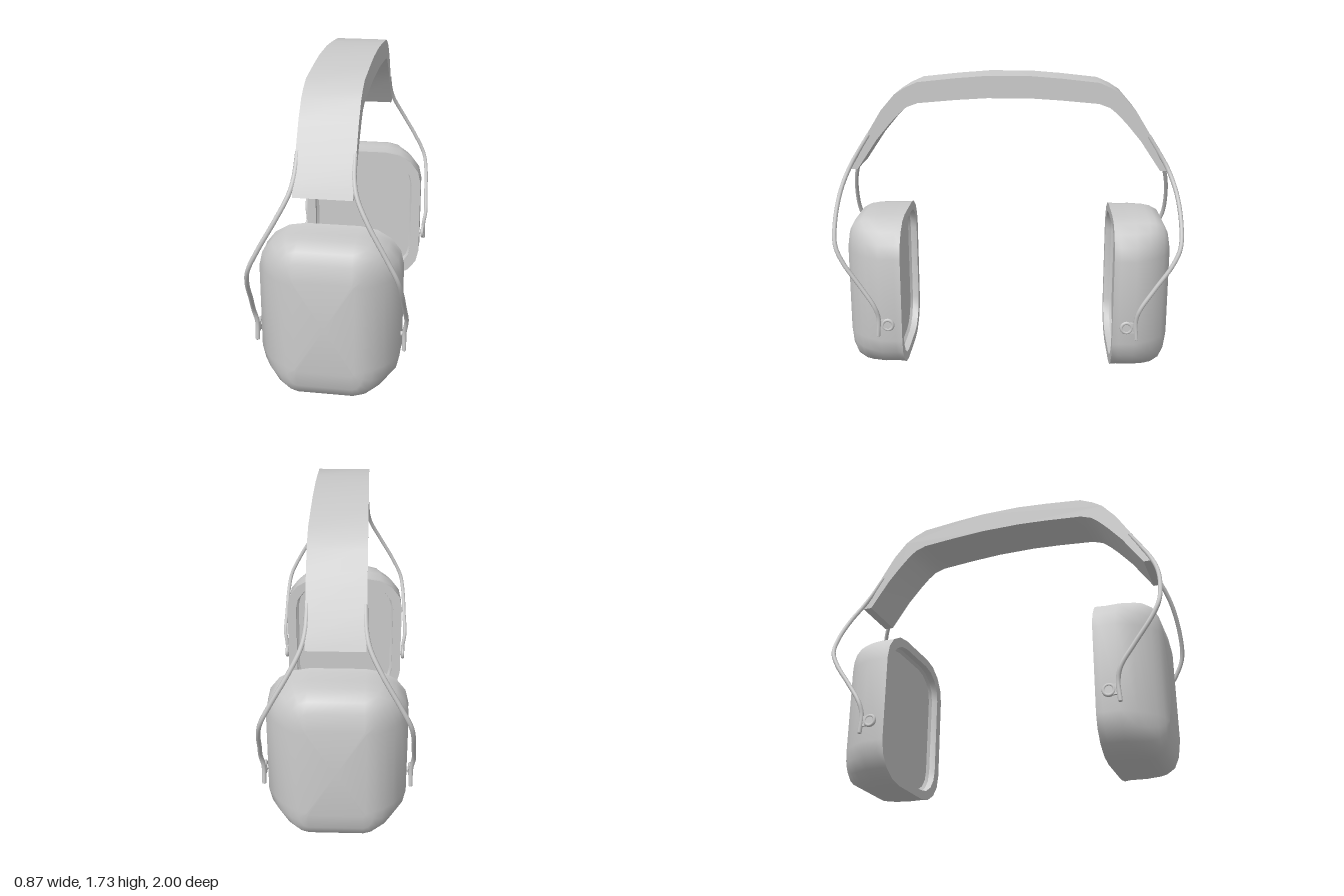
import * as THREE from 'three';
import { toCreasedNormals } from 'three/addons/utils/BufferGeometryUtils.js';

const material = new THREE.MeshStandardMaterial({ color: 0xcccccc });

function add(parent, name, geometry) {
  const mesh = new THREE.Mesh(geometry, material);
  mesh.name = name;
  parent.add(mesh);
  return mesh;
}

// Outline with straight half-lengths sx, sy and elliptical corners rx, ry
function ring([sx, sy, rx, ry, z], steps = 4) {
  const points = [];
  for (let q = 0; q < 4; q++) {
    const cx = q === 0 || q === 3 ? sx : -sx;
    const cy = q < 2 ? sy : -sy;
    for (let i = 0; i <= steps; i++) {
      const a = (q + i / steps) * Math.PI / 2;
      points.push([cx + rx * Math.cos(a), cy + ry * Math.sin(a), z]);
    }
  }
  return points;
}

function loft(layers) {
  const rings = layers.map((layer) => ring(layer));
  const n = rings[0].length;
  const index = [];
  for (let i = 0; i < rings.length - 1; i++) {
    for (let j = 0; j < n; j++) {
      const k = (j + 1) % n;
      const a = i * n + j, b = i * n + k, c = b + n, d = a + n;
      if (i > 0) index.push(a, b, c);
      if (i === 0) index.push(a, c, d);
      else if (i < rings.length - 2) index.push(a, c, d);
    }
  }
  const geometry = new THREE.BufferGeometry();
  geometry.setAttribute('position', new THREE.Float32BufferAttribute(rings.flat(2), 3));
  geometry.setIndex(index);
  return toCreasedNormals(geometry, 0.75);
}

// Recessed floor, inner wall, rim, then the domed outer shell
function cupGeometry() {
  return loft([
    [0, 0, 0, 0, 0.665],
    [0.14, 0.235, 0.175, 0.155, 0.665],
    [0.14, 0.235, 0.19, 0.17, 0.65],
    [0.14, 0.235, 0.19, 0.17, 0.612],
    [0.15, 0.25, 0.238, 0.207, 0.612],
    [0.15, 0.25, 0.235, 0.203, 0.65],
    [0.15, 0.25, 0.235, 0.205, 0.74],
    [0.15, 0.25, 0.19, 0.204, 0.82],
    [0.15, 0.25, 0.16, 0.198, 0.86],
    [0.15, 0.25, 0.11, 0.172, 0.908],
    [0.15, 0.25, 0.06, 0.115, 0.937],
    [0.15, 0.25, 0.012, 0.02, 0.953],
    [0, 0, 0, 0, 0.953],
  ]);
}

// Arched strap: half profile in (z, y), mirrored and extruded across x
function bandGeometry() {
  const outer = [[0.12, 1.729], [0.3, 1.715], [0.517, 1.692], [0.59, 1.66], [0.65, 1.622],
    [0.73, 1.53], [0.84, 1.353], [0.9, 1.25], [0.93, 1.187]];
  const inner = [[0.877, 1.187], [0.76, 1.36], [0.68, 1.455], [0.625, 1.513], [0.58, 1.55],
    [0.517, 1.573], [0.3, 1.592], [0.12, 1.603]];
  const half = [...outer, ...inner];
  const mirrored = half.map(([z, y]) => [-z, y]).reverse();
  const shape = new THREE.Shape([...half, ...mirrored].map(([z, y]) => new THREE.Vector2(z, y)));
  const width = 0.308;
  const geometry = new THREE.ExtrudeGeometry(shape, { depth: width, bevelEnabled: false });
  geometry.translate(0, 0, -width / 2);
  geometry.rotateY(-Math.PI / 2);
  return toCreasedNormals(geometry, 0.6);
}

// Bent wire running from the strap down to the side of a cup
function wirePath(side) {
  const points = [
    [0.146, 1.39, 0.805], [0.152, 1.28, 0.875], [0.172, 1.2, 0.92], [0.235, 1.075, 0.965],
    [0.325, 0.915, 0.986], [0.385, 0.79, 0.978], [0.404, 0.695, 0.935], [0.414, 0.556, 0.84],
    [0.421, 0.435, 0.762], [0.41, 0.36, 0.742], [0.41, 0.25, 0.748],
  ];
  return new THREE.CatmullRomCurve3(points.map(([x, y, z]) => new THREE.Vector3(side * x, y, z)));
}

export function createModel() {
  const model = new THREE.Group();
  model.name = 'headphones';
  add(model, 'headband', bandGeometry());

  for (const end of [1, -1]) {
    const earpiece = new THREE.Group();
    earpiece.name = end > 0 ? 'frontEarpiece' : 'backEarpiece';
    earpiece.rotation.y = end > 0 ? 0 : Math.PI;
    model.add(earpiece);

    add(earpiece, 'earCup', cupGeometry()).position.y = 0.457;

    for (const side of [1, -1]) {
      const path = wirePath(side);
      add(earpiece, 'wireArm', new THREE.TubeGeometry(path, 64, 0.0125, 8));

      // Cap closing the lower wire end
      const cap = add(earpiece, 'wireTip', new THREE.SphereGeometry(0.0125, 8, 6));
      cap.position.copy(path.getPoint(1));
      cap.scale.y = 0.4;

      // Pivot knob joining the wire to the cup
      const knob = new THREE.Group();
      knob.name = 'pivotKnob';
      knob.position.set(side * 0.406, 0.318, 0.69);
      knob.rotation.y = Math.PI / 2;
      earpiece.add(knob);
      add(knob, 'knobRim', new THREE.TorusGeometry(0.029, 0.01, 8, 20));
      add(knob, 'knobFace', new THREE.CylinderGeometry(0.029, 0.029, 0.014, 20).rotateX(Math.PI / 2));
      add(knob, 'knobPin', new THREE.CylinderGeometry(0.014, 0.014, 0.05, 12).rotateX(Math.PI / 2))
        .position.z = -side * 0.02;
      add(knob, 'knobNeck', new THREE.BoxGeometry(0.04, 0.06, 0.014)).position.x = -0.035;
    }
  }
  return model;
}
